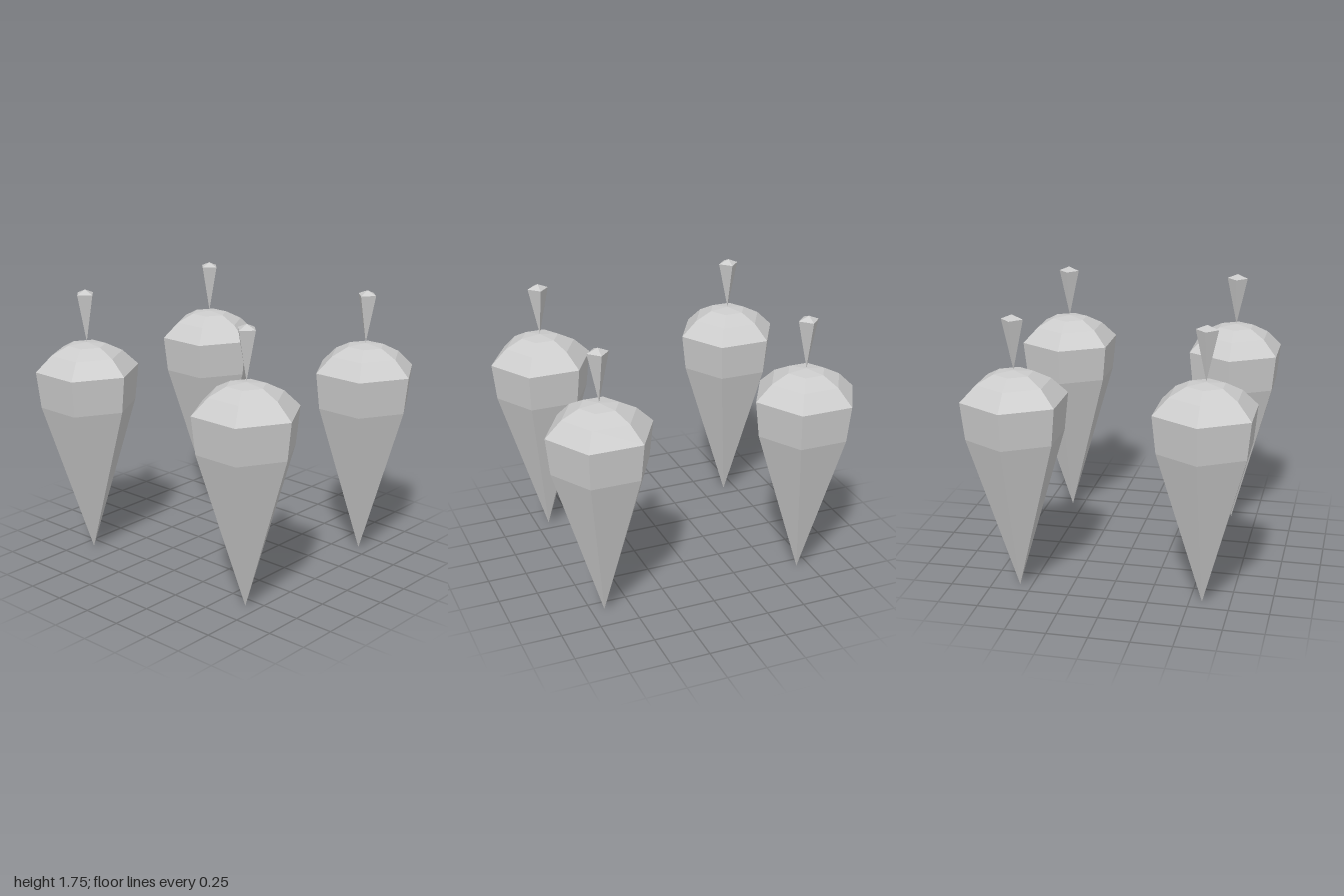
import * as THREE from 'three';

const material = new THREE.MeshStandardMaterial({ color: 0xcccccc, flatShading: true });

// Faceted solid of revolution; profile is [radius, height] from bottom to top
function faceted(name, sides, profile) {
  const points = profile.map(([r, y]) => new THREE.Vector2(r, y));
  const mesh = new THREE.Mesh(new THREE.LatheGeometry(points, sides), material);
  mesh.name = name;
  return mesh;
}

// One spinning-top shape: a six-sided body with a small floating four-sided stem
function createTop() {
  const top = new THREE.Group();
  top.add(
    faceted('body', 6, [
      [0, 0], [0.307, 1.0], [0.333, 1.235], [0.23, 1.335], [0.122, 1.39], [0, 1.405],
    ]),
    faceted('stem', 4, [[0, 1.408], [0.067, 1.717], [0, 1.745]]),
  );
  return top;
}

export function createModel() {
  const model = new THREE.Group();
  model.name = 'spinningTops';

  // Four identical tops at the corners of a rectangle
  for (const [side, x] of [['Left', 0.577], ['Right', -0.577]]) {
    for (const [end, z] of [['front', 0.667], ['back', -0.667]]) {
      const top = createTop();
      top.name = `${end}${side}Top`;
      top.position.set(x, 0, z);
      model.add(top);
    }
  }
  return model;
}
